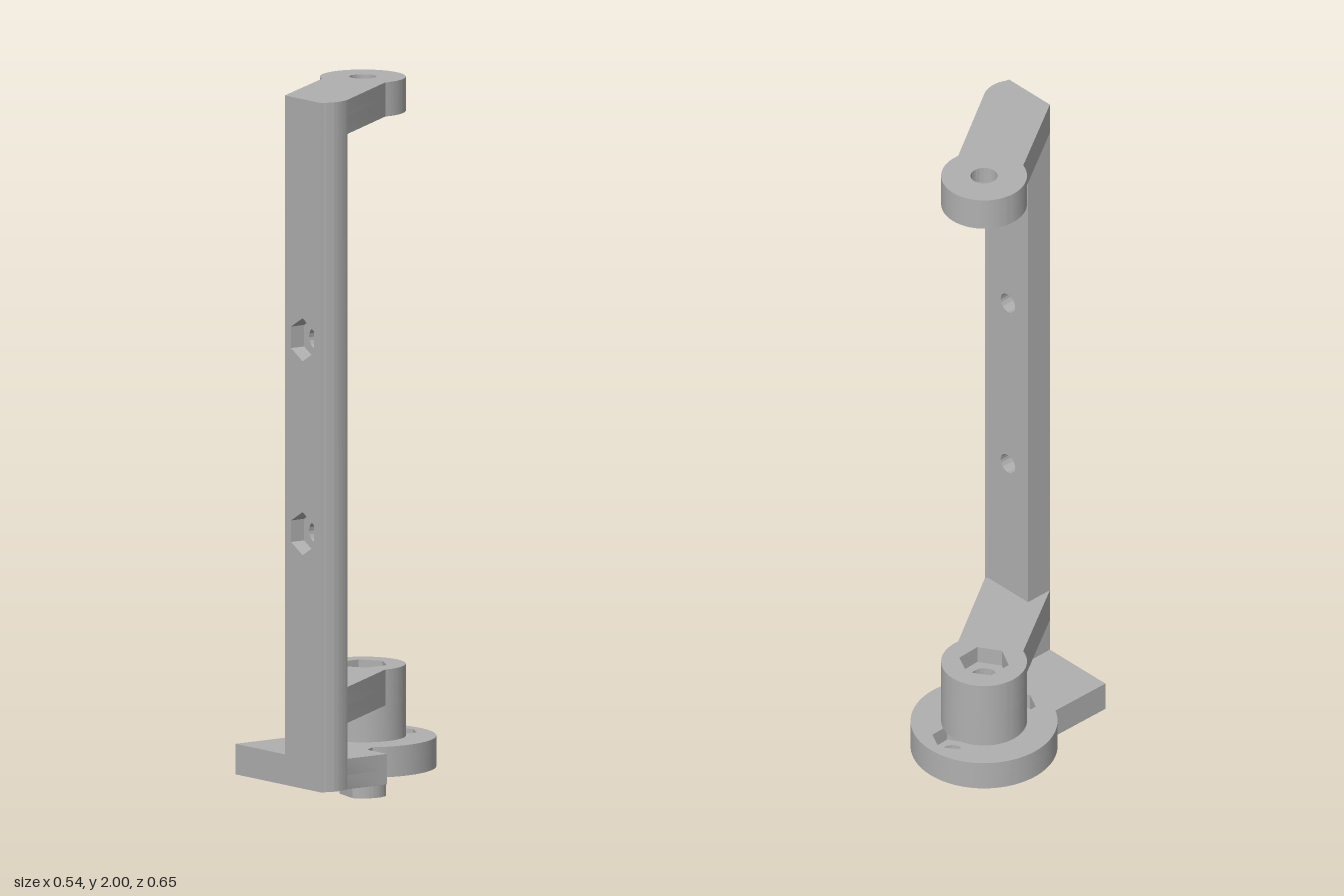
import * as THREE from 'three';
import { toCreasedNormals } from 'three/addons/utils/BufferGeometryUtils.js';

const CX = 0.07, CZ = -0.127; // pivot axis
const BORE = 0.037, HUB = 0.118, DISC = 0.202;
const TILT = 0.31; // nut pocket angle in plan
const rad = THREE.MathUtils.degToRad;

// hole paths, in shape coordinates
function round(x, y, r) {
  return new THREE.Path().absarc(x, y, r, 0, Math.PI * 2, true);
}
function hex(x, y, r, start) {
  const pts = [];
  for (let i = 0; i < 6; i++) {
    const a = start + i * Math.PI / 3;
    pts.push(new THREE.Vector2(x + r * Math.cos(a), y + r * Math.sin(a)));
  }
  return new THREE.Path(pts);
}

function extrude(shape, depth, holes) {
  shape.holes = holes;
  const geo = new THREE.ExtrudeGeometry(shape, { depth, bevelEnabled: false, curveSegments: 40 });
  return toCreasedNormals(geo, 0.45);
}

// rounded front corner shared by post, arms and base (plan, y = -z)
function roundedCorner(s) {
  s.lineTo(-0.025, -0.325);
  s.lineTo(-0.015, -0.32);
  s.bezierCurveTo(0.01, -0.315, 0.032, -0.297, 0.045, -0.268);
  return s;
}

function armShape() {
  const s = new THREE.Shape();
  s.moveTo(-0.13, -0.2);
  roundedCorner(s);
  s.lineTo(0.136, 0.03);
  s.absarc(CX, -CZ, HUB, rad(-56), rad(201), false);
  s.closePath();
  return s;
}

function baseShape() {
  const s = new THREE.Shape();
  s.moveTo(-0.273, -0.03);
  roundedCorner(s);
  s.lineTo(0.15, -0.18);
  s.lineTo(0.093, -0.112);
  s.absarc(CX, -CZ, DISC, rad(-80), rad(190.5), false);
  s.closePath();
  return s;
}

function hubShape() {
  return new THREE.Shape().absarc(CX, -CZ, HUB, 0, Math.PI * 2, false);
}

// round stub with two opposite flats
function stubShape() {
  const s = new THREE.Shape(), half = rad(40), n = rad(27);
  s.absarc(CX, -CZ, 0.066, n + half, n + Math.PI - half, false);
  s.absarc(CX, -CZ, 0.066, n + Math.PI + half, n + Math.PI * 2 - half, false);
  s.closePath();
  return s;
}

export function createModel() {
  const model = new THREE.Group();
  model.name = 'bracket';
  const grey = new THREE.MeshStandardMaterial({ color: 0xb0b0b0 });
  grey.name = 'grey';

  // horizontal slab from a plan outline
  function slab(name, shape, y0, y1, holes) {
    const mesh = new THREE.Mesh(extrude(shape, y1 - y0, holes), grey);
    mesh.name = name;
    mesh.rotation.x = -Math.PI / 2;
    mesh.position.y = y0;
    model.add(mesh);
  }
  const bore = () => round(CX, -CZ, BORE);
  const pocket = () => hex(CX, -CZ, 0.07, -TILT);

  // top arm, nut pocket underneath
  slab('topArmLower', armShape(), 1.905, 1.955, [pocket()]);
  slab('topArmUpper', armShape(), 1.955, 2, [bore()]);

  // lower arm, nut pocket on top, standing on a hub
  slab('lowerArmUpper', armShape(), 0.315, 0.365, [pocket()]);
  slab('lowerArmLower', armShape(), 0.265, 0.315, [bore()]);
  slab('hub', hubShape(), 0.165, 0.265, [bore()]);

  // base plate with two offset nut pockets
  const nuts = [[0.161, 0.203], [-0.021, 0.051]];
  slab('baseLower', baseShape(), 0.08, 0.12, [bore(), ...nuts.map(([x, y]) => round(x, y, 0.029))]);
  // the pockets run under the hub but stay clear of the bore
  slab('baseUpper', baseShape(), 0.12, 0.165, [bore(), ...nuts.map(([x, y]) => hex(x, y, 0.057, -TILT))]);
  slab('bottomStub', stubShape(), 0, 0.08, [bore()]);

  // upright post: two layers, hex pockets in front, round holes behind
  const post = new THREE.Group();
  post.name = 'post';
  post.position.set(-0.13, 0, 0.2);
  post.rotation.y = rad(-50);
  model.add(post);
  const holeHeights = [0.79, 1.33];
  function postLayer(name, z0, z1, hole) {
    const s = new THREE.Shape([[0, 0.165], [0.163, 0.165], [0.163, 1.905], [0, 1.905]]
      .map(p => new THREE.Vector2(...p)));
    const mesh = new THREE.Mesh(extrude(s, z1 - z0, holeHeights.map(hole)), grey);
    mesh.name = name;
    mesh.position.z = z0;
    post.add(mesh);
  }
  postLayer('postFront', -0.045, 0, y => hex(0.08, y, 0.06, Math.PI / 2));
  postLayer('postBack', -0.083, -0.045, y => round(0.08, y, 0.029));

  // rounded edge of the post
  const edge = new THREE.Shape();
  edge.moveTo(-0.03, -0.319);
  roundedCorner(edge);
  edge.lineTo(0.035, -0.268);
  edge.closePath();
  slab('postEdge', edge, 0.165, 1.905, []);

  return model;
}
